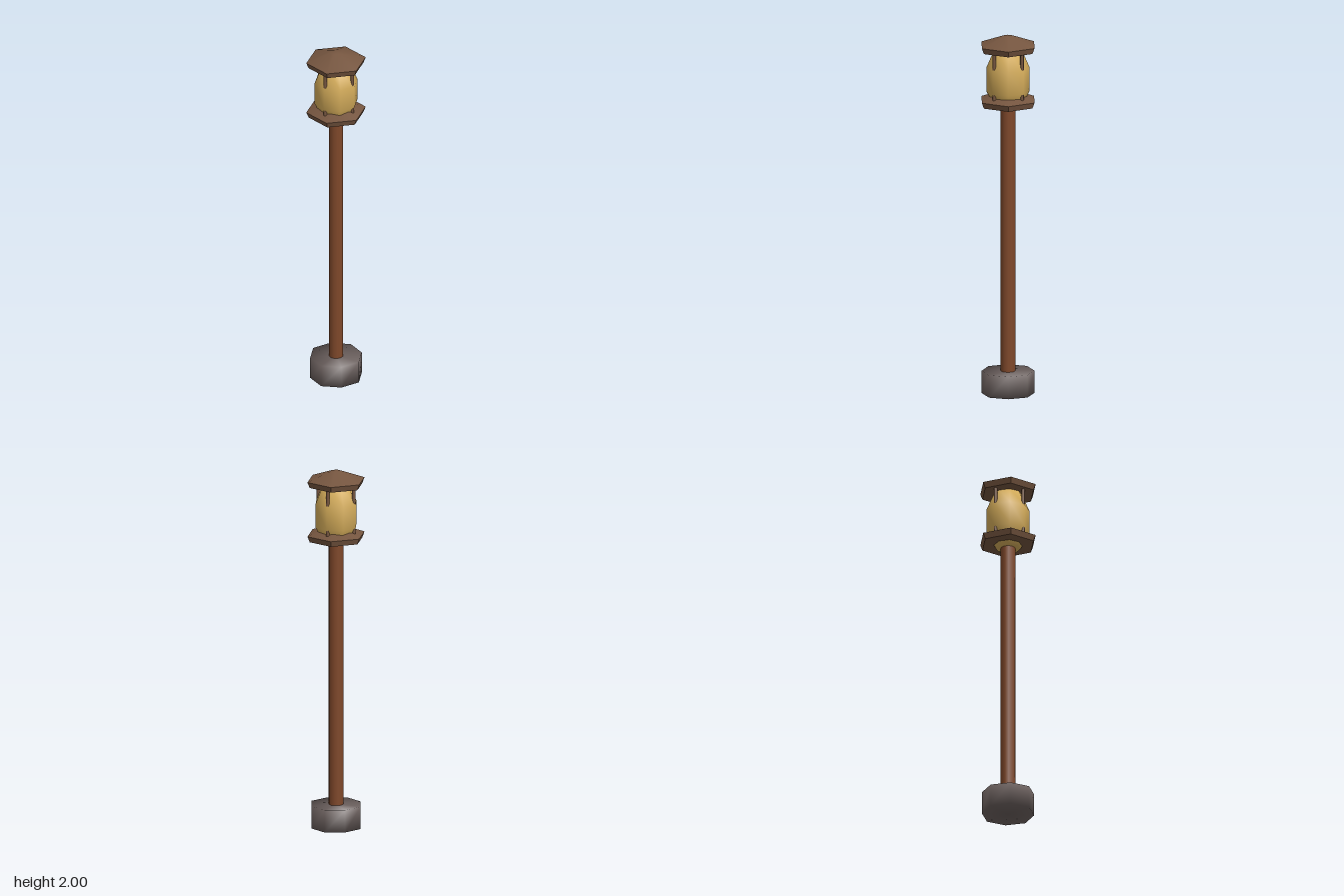
import * as THREE from 'three';
import { mergeVertices, toCreasedNormals } from 'three/addons/utils/BufferGeometryUtils.js';

const paint = (name, color) => {
  const m = new THREE.MeshStandardMaterial({ color });
  m.name = name;
  return m;
};

// Faceted lathe from [radius, height] pairs, listed bottom to top
const turned = (profile, sides, start = 0) =>
  new THREE.LatheGeometry(profile.map(([r, y]) => new THREE.Vector2(r, y)), sides, start);

export function createModel() {
  const model = new THREE.Group();
  model.name = 'lampPost';

  const stone = paint('stone grey', 0x6a5f5d);
  const poleWood = paint('pole wood', 0x7f482a);
  const roofWood = paint('roof wood', 0x765640);
  const glow = paint('lantern yellow', 0xd4ac5a);

  const add = (name, geometry, material, x = 0, y = 0, z = 0) => {
    const mesh = new THREE.Mesh(geometry, material);
    mesh.name = name;
    mesh.position.set(x, y, z);
    model.add(mesh);
    return mesh;
  };

  // Eight-sided stone foot, slightly wider on the diagonals, with soft shared normals
  let foot = new THREE.CylinderGeometry(0.143, 0.143, 0.125, 8);
  const p = foot.attributes.position;
  for (let i = 0; i < p.count; i++) {
    const diagonal = Math.abs(p.getX(i) * p.getZ(i)) > 0.005 ? 1.035 : 1;
    p.setXYZ(i, p.getX(i) * diagonal, p.getY(i), p.getZ(i) * diagonal);
  }
  foot.deleteAttribute('uv');
  foot.deleteAttribute('normal');
  foot = mergeVertices(foot, 1e-4);
  foot.computeVertexNormals();
  add('stoneFoot', foot, stone, 0, 0.0625, 0);

  // Pole
  add('pole', new THREE.CylinderGeometry(0.04, 0.04, 1.5, 12), poleWood, 0, 0.86, 0);

  // Lantern body, running through the lower plate and up into the roof
  add('lantern', turned([
    [0, 1.592], [0.068, 1.592], [0.118, 1.69], [0.118, 1.82], [0.076, 1.918], [0, 1.93],
  ], 8), glow);

  // Matching hexagonal lower plate and roof
  const plate = toCreasedNormals(turned([
    [0, 0], [0.152, 0], [0.165, 0.032], [0.03, 0.082], [0, 0.085],
  ], 6, Math.PI / 2), 0.7);
  add('lowerPlate', plate, roofWood, 0, 1.61, 0);
  add('roof', plate, roofWood, 0, 1.915, 0);

  // Four upright bars on the diagonals, sunk into the lantern's belly
  const bar = new THREE.CylinderGeometry(0.01, 0.01, 0.29, 8);
  for (const x of [-0.075, 0.075]) {
    for (const z of [-0.075, 0.075]) add('uprightBar', bar, roofWood, x, 1.78, z);
  }

  return model;
}
